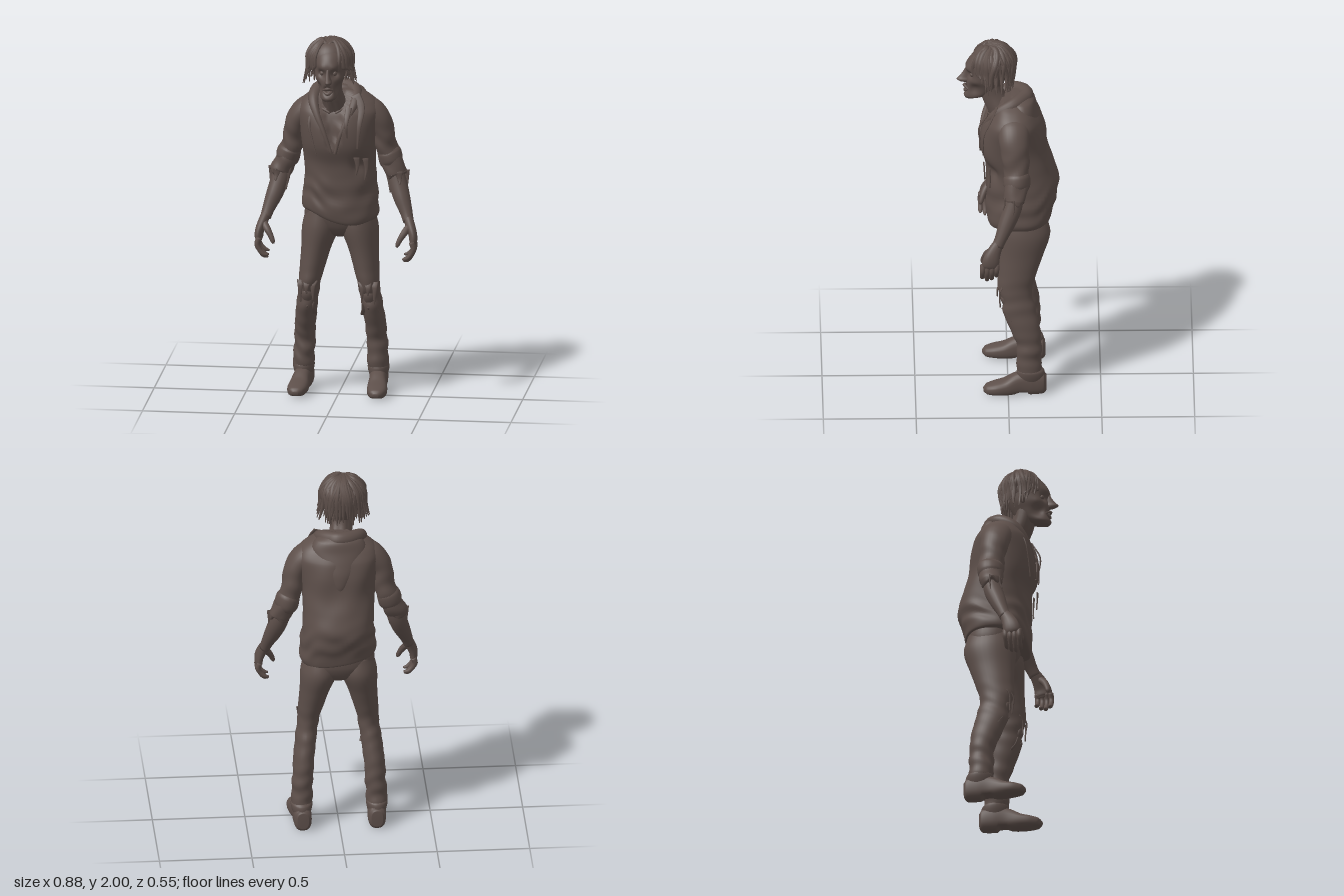
import * as THREE from 'three';

const clay = new THREE.MeshStandardMaterial({ color: 0x5d4f4a });
clay.name = 'dusty brown';
const { sin, cos, abs, max, sign, pow, exp, PI } = Math;
const V = (x, y, z) => new THREE.Vector3(x, y, z);
const smooth = THREE.MathUtils.smoothstep;

let seed = 7;
const rand = () => (seed = (seed * 16807) % 2147483647) / 2147483647;

// Soft round falloff around a point, for dents and bulges
const blob = (v, x, y, z, r) => exp(-((v.x - x) ** 2 + (v.y - y) ** 2 + (v.z - z) ** 2) / (r * r));

// Uneven cloth folds, between -1 and 1
const folds = (v, f) => 0.6 * sin(v.y * f + v.z * 24 + v.x * 17 + 1.5 * sin(v.z * 19 + v.x * 23)) + 0.4 * sin(v.y * f * 0.57 - v.x * 31 + v.z * 13);

// Closed smooth body through rings [x, y, z, r1, r2]; move(v, out, s) may reshape each vertex
function loft(name, rings, { seg = 16, sub = 4, level = false, power = 1, move } = {}) {
  const path = new THREE.CatmullRomCurve3(rings.map(r => V(r[0], r[1], r[2])));
  const size = new THREE.CatmullRomCurve3(rings.map(r => V(r[3], r[4] ?? r[3], 0)), false, 'catmullrom', 0.5);
  const rows = (rings.length - 1) * sub, pos = [], index = [];
  const up = V(0, sign(rings.at(-1)[1] - rings[0][1]), 0);
  const u = V(1, 0, 0), w = V(), out = V();
  for (let i = 0; i <= rows; i++) {
    const s = i / rows, c = path.getPoint(s), r = size.getPoint(s);
    const t = level ? up : path.getTangent(s);
    u.addScaledVector(t, -t.dot(u)).normalize();
    w.crossVectors(t, u);
    for (let j = 0; j < seg; j++) {
      const a = j / seg * 2 * PI, ca = cos(a), sa = sin(a);
      out.copy(u).multiplyScalar(sign(ca) * pow(abs(ca), power) * max(r.x, 0.001))
        .addScaledVector(w, sign(sa) * pow(abs(sa), power) * max(r.y, 0.001));
      const v = c.clone().add(out);
      if (move) move(v, out.normalize(), s);
      pos.push(v.x, v.y, v.z);
      if (i < rows) {
        const k = (j + 1) % seg, p = i * seg;
        index.push(p + j, p + k, p + seg + j, p + k, p + seg + k, p + seg + j);
      }
    }
  }
  const n = pos.length / 3, a = path.getPoint(0), b = path.getPoint(1), last = rows * seg;
  pos.push(a.x, a.y, a.z, b.x, b.y, b.z);
  for (let j = 0; j < seg; j++) {
    const k = (j + 1) % seg;
    index.push(n, k, j, n + 1, last + j, last + k);
  }
  const g = new THREE.BufferGeometry();
  g.setAttribute('position', new THREE.Float32BufferAttribute(pos, 3));
  g.setIndex(index);
  g.computeVertexNormals();
  const m = new THREE.Mesh(g, clay);
  m.name = name;
  return m;
}

// Flat pointed strip of torn cloth
const tatter = (name, pts, r = 0.012) =>
  loft(name, pts.map((p, i) => [...p, r * (1 - 0.85 * i / (pts.length - 1)), 0.004]), { seg: 8 });

// Approximate front surface of the hoodie
const chestZ = (x, y) => -0.045 + 0.185 * pow(max(0, 1 - pow(abs(x / 0.21), 2.5)), 0.4) + 0.012 * smooth(y, 1.3, 1.4);

function buildTorso() {
  const g = new THREE.Group();
  g.name = 'hoodie';
  g.add(loft('hoodieBody', [
    [0, 0.995, -0.07, 0.18, 0.15], [0, 1.005, -0.065, 0.2, 0.17], [0.004, 1.04, -0.063, 0.209, 0.179],
    [0.004, 1.1, -0.072, 0.2, 0.186], [0.003, 1.2, -0.08, 0.192, 0.197], [0, 1.3, -0.065, 0.19, 0.184],
    [0, 1.4, -0.033, 0.2, 0.182], [0, 1.5, -0.027, 0.215, 0.176], [0, 1.58, -0.027, 0.225, 0.155],
    [0, 1.63, -0.028, 0.202, 0.125], [0, 1.67, -0.025, 0.155, 0.1], [0, 1.7, -0.02, 0.1, 0.08],
  ], {
    seg: 72, sub: 6, level: true, power: 0.85, move: (v, out) => {
      const low = 1 - smooth(v.y, 1.0, 1.25), waist = exp(-(((v.y - 1.13) / 0.08) ** 2));
      // Sagging folds over the waistband, chest folds, open neck and torn side
      let d = waist * 0.007 * folds(v, 62) + 0.003 * sin(v.x * 34 + v.y * 16) * smooth(v.y, 1.2, 1.35);
      if (v.z > 0) {
        const half = (v.y - 1.38) * 0.33;
        d -= 0.028 * (1 - smooth(abs(v.x + 0.02), half - 0.008, half + 0.008)) * smooth(v.y, 1.38, 1.41);
        d -= 0.025 * blob(v, 0.135, 1.29, 0.09, 0.04);
      }
      v.addScaledVector(out, d);
      v.y += low * (-0.15 * v.x - 0.032 * smooth(v.z, 0, 0.1) * cos((v.x - 0.05) * 9));
    },
  }));
  // Rolled hood edge running into the open neckline
  const half = [[-0.02, 1.37, 0.145, 0.008], [-0.06, 1.48, 0.14, 0.012], [-0.105, 1.58, 0.105, 0.02],
    [-0.128, 1.645, 0.05, 0.03], [-0.115, 1.685, -0.03, 0.037], [-0.06, 1.697, -0.085, 0.04]];
  const other = half.map(([x, y, z, r]) => [-x - 0.03, y, z, r]).reverse();
  other[other.length - 1][0] = 0;
  g.add(loft('hoodEdge', [...half, [0, 1.7, -0.1, 0.04], ...other], { seg: 14, sub: 6 }));
  // Hood hanging down the back to a point
  g.add(loft('hoodBack', [[0, 1.715, -0.07, 0.07, 0.05], [0, 1.69, -0.075, 0.125, 0.07], [0, 1.64, -0.085, 0.15, 0.075],
    [0, 1.58, -0.115, 0.125, 0.07], [0, 1.52, -0.155, 0.08, 0.05], [0, 1.46, -0.178, 0.042, 0.032],
    [0, 1.41, -0.188, 0.012, 0.012]], { seg: 36, sub: 6, level: true }));
  // Drawstring, torn collar and tatters
  const onChest = (x, y, lift = 0.002) => [x, y, chestZ(x, y) + lift];
  g.add(tatter('drawstring', [[-0.12, 1.62, 0.08], onChest(-0.145, 1.53), onChest(-0.125, 1.44), onChest(-0.1, 1.35)], 0.011));
  g.add(tatter('tornCollar', [[0.1, 1.68, 0.06], [0.135, 1.62, 0.09], onChest(0.128, 1.52), onChest(0.12, 1.4)], 0.028));
  g.add(tatter('collarShred', [[0.07, 1.62, 0.11], onChest(0.06, 1.53, 0.008), onChest(0.065, 1.46)], 0.018));
  for (const [x, y, l] of [[0.115, 1.35, 0.1], [0.16, 1.34, 0.12]])
    g.add(tatter('sideTatter', [onChest(x, y), onChest(x + 0.004, y - l / 2, 0.006), onChest(x - 0.003, y - l)], 0.017));
  for (const s of [-1, 1])
    g.add(loft('collarbone', [[-0.02 + s * 0.015, 1.585, 0.1, 0.006], [-0.02 + s * 0.045, 1.6, 0.088, 0.008],
      [-0.02 + s * 0.09, 1.61, 0.055, 0.006]], { seg: 8 }));
  return g;
}

function buildArm(s) {
  const g = new THREE.Group();
  g.name = s > 0 ? 'leftArm' : 'rightArm';
  const add = (name, rings, o) => g.add(loft(name, rings.map(([x, ...r]) => [s * x, ...r]), o));
  add('sleeve', [[0.1, 1.6, -0.03, 0.055, 0.085], [0.17, 1.578, -0.03, 0.068, 0.087], [0.222, 1.52, -0.032, 0.063, 0.081],
    [0.243, 1.44, -0.04, 0.058, 0.073], [0.26, 1.36, -0.045, 0.06, 0.068], [0.285, 1.29, -0.043, 0.06, 0.065],
    [0.314, 1.23, -0.032, 0.059, 0.06], [0.318, 1.212, -0.03, 0.048, 0.048]], {
    seg: 28, sub: 6, move: (v, out, t) => {
      v.addScaledVector(out, 0.005 * folds(v, 58) * smooth(t, 0.2, 0.5));
      if (t > 0.9) v.y += 0.014 * sin(v.z * 90 + v.x * 60);
    },
  });
  // Rolled cuff
  add('cuff', [[0.262, 1.36, -0.045, 0.056, 0.063], [0.268, 1.34, -0.046, 0.064, 0.072],
    [0.28, 1.3, -0.045, 0.064, 0.07], [0.289, 1.275, -0.043, 0.054, 0.059]],
  { seg: 24, move: (v, out) => v.addScaledVector(out, 0.003 * folds(v, 40)) });
  add('forearm', [[0.3, 1.26, -0.04, 0.045], [0.32, 1.18, -0.022, 0.05], [0.347, 1.1, 0.01, 0.045],
    [0.374, 1.03, 0.04, 0.034], [0.388, 0.985, 0.06, 0.029, 0.031]], { seg: 20 });
  add('palm', [[0.382, 1.01, 0.05, 0.026, 0.028], [0.402, 0.96, 0.078, 0.026, 0.038], [0.417, 0.915, 0.095, 0.023, 0.046],
    [0.418, 0.88, 0.1, 0.02, 0.045], [0.414, 0.865, 0.103, 0.009, 0.03]], { seg: 16 });
  for (let i = 0; i < 4; i++) {
    const z = 0.064 + i * 0.025, l = [0.075, 0.092, 0.098, 0.085][i];
    add('finger', [[0.414, 0.89, z, 0.015], [0.424, 0.885 - l * 0.35, z + 0.002, 0.015], [0.412, 0.885 - l * 0.7, z + 0.003, 0.013],
      [0.389, 0.885 - l, z + 0.003, 0.012], [0.365, 0.88 - l, z + 0.003, 0.005]], { seg: 10 });
  }
  add('thumb', [[0.395, 0.965, 0.085, 0.02], [0.372, 0.935, 0.115, 0.019], [0.35, 0.9, 0.132, 0.015],
    [0.338, 0.872, 0.14, 0.012], [0.335, 0.86, 0.142, 0.005]], { seg: 10 });
  // Torn strips below the cuff
  for (const [x, z, l] of [[0.275, 0.0, 0.09], [0.362, -0.03, 0.07], [0.33, 0.02, 0.04]])
    g.add(tatter('sleeveTatter', [[s * x, 1.25, z], [s * (x + 0.004), 1.225 - l / 3, z], [s * (x + 0.008), 1.22 - l, z + 0.01]], 0.022));
  return g;
}

function buildLeg(s) {
  const g = new THREE.Group();
  g.name = s > 0 ? 'leftLeg' : 'rightLeg';
  const add = (name, rings, o) => g.add(loft(name, rings.map(([x, ...r]) => [s * x, ...r]), o));
  add('trouserLeg', [[0.095, 1.02, -0.08, 0.085, 0.125], [0.104, 0.92, -0.085, 0.102, 0.143], [0.128, 0.8, -0.068, 0.081, 0.122],
    [0.146, 0.7, -0.05, 0.069, 0.105], [0.162, 0.6, -0.035, 0.058, 0.093], [0.175, 0.5, -0.055, 0.057, 0.092],
    [0.188, 0.4, -0.085, 0.057, 0.084], [0.195, 0.3, -0.11, 0.056, 0.069], [0.2, 0.2, -0.112, 0.057, 0.066],
    [0.203, 0.135, -0.116, 0.057, 0.069], [0.203, 0.12, -0.118, 0.045, 0.058]], {
    seg: 32, sub: 8, level: true, move: (v, out) => {
      const crease = exp(-(((v.y - 0.24) / 0.13) ** 2)) + 0.6 * exp(-(((v.y - 0.56) / 0.1) ** 2));
      v.addScaledVector(out, crease * 0.005 * folds(v, 74) - 0.022 * blob(v, s * 0.165, 0.55, 0.045, 0.045));
    },
  });
  add('kneecap', [[0.166, 0.59, 0.012, 0.012], [0.168, 0.565, 0.02, 0.03, 0.022], [0.17, 0.53, 0.012, 0.028, 0.02], [0.172, 0.505, 0.005, 0.01]]);
  // Torn cloth around the knee
  for (let i = 0; i < 3; i++) {
    const x = s * (0.13 + i * 0.034), z = 0.045 - abs(i - 1) * 0.014, l = [0.06, 0.025, 0.075][i];
    g.add(tatter('kneeTatter', [[x, 0.635, z], [x + s * 0.004, 0.605, z + 0.014], [x + s * 0.002, 0.59 - l, z + 0.012]], 0.024));
    g.add(tatter('kneeFrayBelow', [[x + s * 0.008, 0.44, z - 0.05], [x + s * 0.008, 0.475, z - 0.026], [x, 0.48 + l * 0.5, z - 0.012]], 0.022));
  }
  // Boot with flat sole, raised arch and heel
  add('boot', [[0.2, 0.06, -0.205, 0.03, 0.045], [0.2, 0.06, -0.19, 0.046, 0.062], [0.202, 0.065, -0.13, 0.05, 0.072],
    [0.206, 0.06, -0.06, 0.047, 0.064], [0.212, 0.042, 0.01, 0.054, 0.046], [0.217, 0.035, 0.07, 0.053, 0.036],
    [0.218, 0.03, 0.115, 0.038, 0.026], [0.218, 0.028, 0.134, 0.014, 0.01]], {
    seg: 24, sub: 6, power: 0.8, move: v => {
      const arch = 0.018 * smooth(v.z, -0.112, -0.1) * (1 - smooth(v.z, -0.06, -0.02));
      v.y = max(v.y, arch + 0.012 * smooth(v.z, 0.05, 0.135));
      v.z = max(v.z, -0.206);
    },
  });
  add('bootShaft', [[0.203, 0.05, -0.125, 0.035, 0.06], [0.203, 0.1, -0.122, 0.053, 0.076], [0.203, 0.135, -0.12, 0.059, 0.074],
    [0.203, 0.15, -0.118, 0.052, 0.062]], { seg: 24, level: true });
  return g;
}

function buildHead() {
  const g = new THREE.Group(), cx = -0.03;
  g.name = 'head';
  g.add(loft('neck', [[-0.01, 1.56, 0.0, 0.075], [-0.015, 1.64, 0.05, 0.064], [-0.025, 1.71, 0.085, 0.06], [-0.03, 1.79, 0.1, 0.06]],
    { seg: 24, move: (v, out) => v.addScaledVector(out, 0.004 * sin(v.x * 130)) }));
  g.add(loft('skull', [[cx, 1.678, 0.2, 0.022, 0.028], [cx, 1.695, 0.175, 0.046, 0.062], [cx, 1.73, 0.14, 0.058, 0.093],
    [cx, 1.765, 0.125, 0.068, 0.103], [cx, 1.8, 0.115, 0.079, 0.11], [cx, 1.84, 0.107, 0.083, 0.119],
    [cx, 1.885, 0.1, 0.087, 0.122], [cx, 1.93, 0.09, 0.08, 0.104], [cx, 1.968, 0.08, 0.05, 0.065], [cx, 1.98, 0.08, 0.01, 0.01]], {
    seg: 56, sub: 6, level: true, move: v => {
      // Sunken eyes, hollow cheeks, open mouth, brow and cheekbones
      for (const s of [-1, 1]) {
        v.z -= 0.026 * blob(v, cx + s * 0.034, 1.83, 0.21, 0.023);
        v.x -= s * 0.018 * blob(v, cx + s * 0.06, 1.748, 0.18, 0.032);
        v.x += s * 0.007 * blob(v, cx + s * 0.068, 1.793, 0.18, 0.025);
        v.z += 0.01 * blob(v, cx + s * 0.03, 1.862, 0.21, 0.022);
      }
      v.z -= 0.03 * blob(v, cx, 1.737, 0.23, 0.022);
    },
  }));
  g.add(loft('nose', [[cx, 1.86, 0.218, 0.007, 0.008], [cx, 1.83, 0.222, 0.011, 0.02], [cx + 0.003, 1.805, 0.226, 0.015, 0.036],
    [cx + 0.005, 1.79, 0.228, 0.02, 0.047], [cx + 0.004, 1.778, 0.223, 0.016, 0.034], [cx + 0.003, 1.773, 0.22, 0.006, 0.012]],
  { seg: 18, level: true }));
  for (const [y, z, name] of [[1.752, 0.233, 'upperLip'], [1.722, 0.23, 'lowerLip']])
    g.add(loft(name, [[cx - 0.03, 1.738, z - 0.022, 0.004], [cx, y, z, 0.009], [cx + 0.03, 1.738, z - 0.022, 0.004]], { seg: 10 }));
  for (let i = -2; i <= 2; i++) {
    const tooth = new THREE.Mesh(new THREE.BoxGeometry(0.008, 0.012, 0.008), clay);
    tooth.name = 'tooth';
    tooth.position.set(cx + i * 0.009, 1.744, 0.227 - abs(i) * 0.003);
    g.add(tooth);
  }
  for (const s of [-1, 1]) {
    const eye = new THREE.Mesh(new THREE.SphereGeometry(0.014, 16, 12), clay);
    eye.name = 'eye';
    eye.position.set(cx + s * 0.033, 1.83, 0.19);
    g.add(eye);
    g.add(loft('ear', [[cx + s * 0.084, 1.845, 0.09, 0.008, 0.012], [cx + s * 0.092, 1.82, 0.092, 0.009, 0.02],
      [cx + s * 0.083, 1.785, 0.1, 0.006, 0.008]], { seg: 10 }));
  }
  return g;
}

function buildHair() {
  const g = new THREE.Group(), c = V(-0.035, 1.88, 0.08);
  g.name = 'hair';
  const cap = new THREE.Mesh(new THREE.SphereGeometry(1, 40, 24, 0, 2 * PI, 0, PI * 0.6), clay);
  cap.name = 'hairCap';
  cap.scale.set(0.108, 0.109, 0.12);
  cap.position.copy(c);
  cap.rotation.x = -0.45;
  g.add(cap);
  // Messy locks swept from a parting above the forehead, longer at the sides and back
  const count = 90;
  for (let i = 0; i < count; i++) {
    const a = 0.6 + (2 * PI - 1.2) * (i + rand() * 0.8) / count;
    const front = smooth(cos(a), -0.2, 0.8), k = 0.97 + rand() * 0.08, turn = (rand() - 0.5) * 0.5;
    const tip = 1.74 + 0.075 * front + rand() * 0.05, flare = 1.0 + rand() * 0.28;
    const at = (e, d) => [c.x + sin(a + d) * cos(e) * 0.118 * k, c.y + sin(e) * 0.111 * k, c.z + cos(a + d) * cos(e) * 0.118 * k];
    const r = 0.008 + rand() * 0.008;
    g.add(loft('lock', [[c.x - 0.01 + sin(a) * 0.012, 1.978, c.z + 0.055, r * 0.4], [...at(1.2, 0), r * 0.9], [...at(0.8, -turn * 0.3), r],
      [...at(0.3, turn * 0.4), r], [...at(-0.2, turn), r * 0.9],
      [c.x + sin(a + turn) * 0.115 * flare, tip, c.z + cos(a + turn) * 0.112, r * 0.2]], { seg: 7, sub: 4 }));
  }
  return g;
}

export function createModel() {
  const model = new THREE.Group();
  model.name = 'raggedWalker';
  model.add(buildTorso(), buildHead(), buildHair());
  model.add(loft('trouserSeat', [[0, 1.08, -0.075, 0.18, 0.15], [0, 0.98, -0.085, 0.193, 0.142], [0, 0.93, -0.085, 0.17, 0.125],
    [0, 0.895, -0.083, 0.11, 0.1], [0, 0.87, -0.08, 0.05, 0.06]], { seg: 40, level: true, power: 0.9 }));
  for (const s of [-1, 1]) model.add(buildArm(s), buildLeg(s));
  return model;
}
